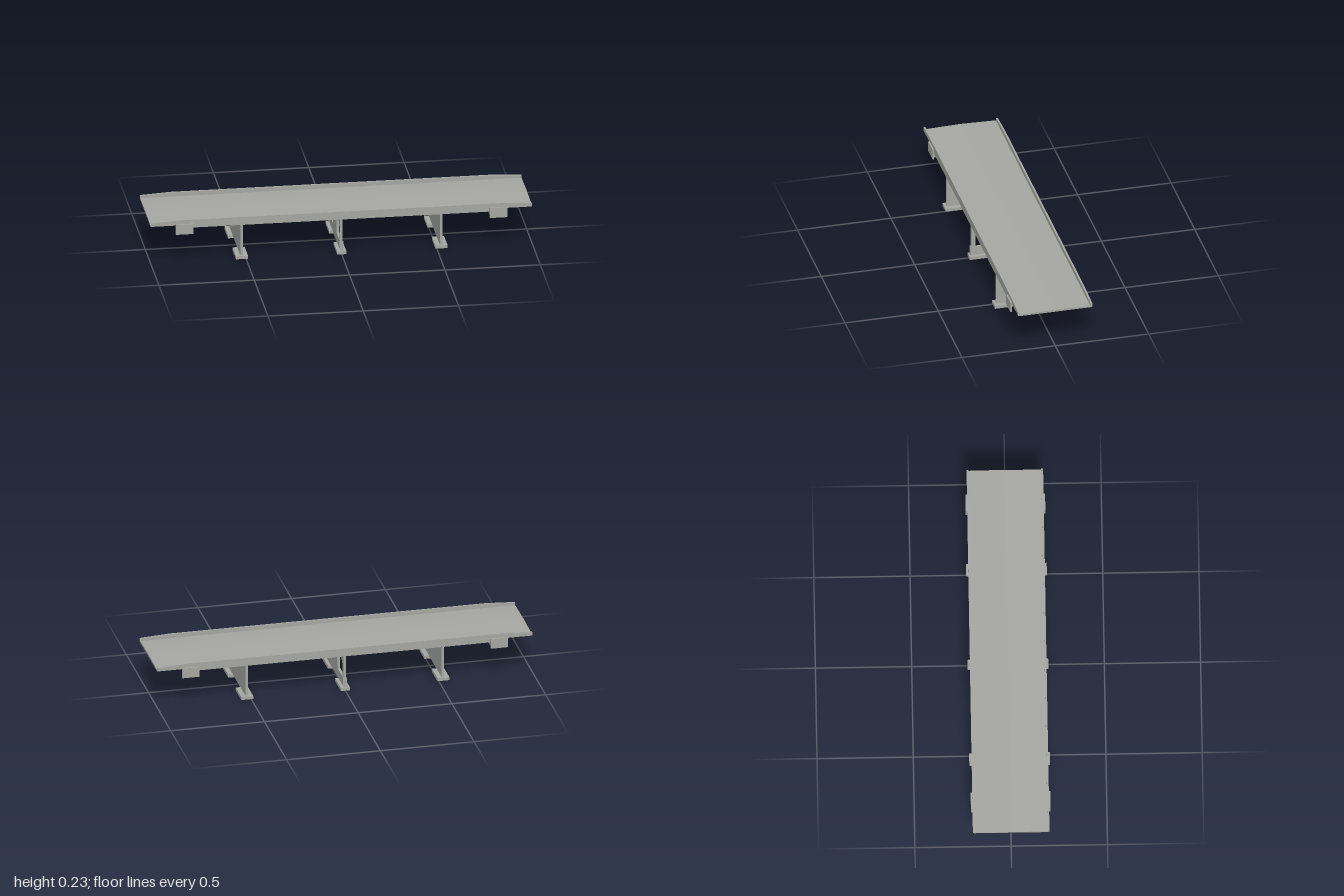
import * as THREE from 'three';

const concrete = new THREE.MeshStandardMaterial({ color: 0xa6a6a2 });
concrete.name = 'concrete grey';

export function createModel() {
  const model = new THREE.Group();
  model.name = 'roadBridge';

  const add = (name, geometry) => {
    const mesh = new THREE.Mesh(geometry, concrete);
    mesh.name = name;
    model.add(mesh);
    return mesh;
  };
  // Box given by its limits on each axis
  const box = (name, x0, x1, y0, y1, z0, z1) =>
    add(name, new THREE.BoxGeometry(x1 - x0, y1 - y0, z1 - z0)
      .translate((x0 + x1) / 2, (y0 + y1) / 2, (z0 + z1) / 2));
  const shapeOf = (pts) => new THREE.Shape(pts.map(([x, y]) => new THREE.Vector2(x, y)));
  const extrude = (shape, depth) =>
    new THREE.ExtrudeGeometry(shape, { depth, bevelEnabled: false }).translate(0, 0, -depth / 2);

  // Cambered deck slab, cross-section swept along x
  const section = shapeOf([
    [-0.193, 0.204], [0.193, 0.204], [0.193, 0.211], [0.1, 0.214],
    [0, 0.2165], [-0.1, 0.214], [-0.193, 0.211],
  ]);
  add('deck', extrude(section, 2).rotateY(Math.PI / 2));

  // Edge beams with kerbs that drop towards both ends
  const kerb = shapeOf([
    [-1, 0.206], [-0.79, 0.206], [-0.79, 0.19], [0.79, 0.19], [0.79, 0.206], [1, 0.206],
    [1, 0.225], [0.84, 0.234], [-0.84, 0.234], [-1, 0.225],
  ]);
  for (const s of [-1, 1]) add('edgeBeam', extrude(kerb, 0.01)).position.z = s * 0.194;

  // Longitudinal girders with a web and a bottom flange
  for (let i = 0; i < 8; i++) {
    const z = -0.168 + i * 0.048;
    box('girderWeb', -0.79, 0.79, 0.191, 0.206, z - 0.005, z + 0.005);
    box('girderFlange', -0.79, 0.79, 0.188, 0.192, z - 0.011, z + 0.011);
  }

  // Cross diaphragms between the girders
  for (const x of [0.13, 0.26, 0.39, 0.62, 0.71])
    for (const s of [-1, 1]) box('diaphragm', s * x - 0.003, s * x + 0.003, 0.188, 0.206, -0.19, 0.19);

  for (const s of [-1, 1]) {
    // Abutment beam and its side plates
    const a = s * 0.79;
    box('abutmentBeam', a - 0.012, a + 0.012, 0.167, 0.206, -0.199, 0.199);
    const w = s * 0.823;
    for (const t of [-1, 1])
      box('wingPlate', w - 0.046, w + 0.046, 0.157, 0.212, t * 0.203 - 0.004, t * 0.203 + 0.004);

    // Solid outer piers
    const p = s * 0.523;
    box('outerPier', p - 0.007, p + 0.007, 0.018, 0.192, -0.198, 0.198);
    for (const t of [-1, 1])
      box('outerFooting', p - 0.032, p + 0.032, 0.003, 0.02, t * 0.147 - 0.063, t * 0.147 + 0.063);
  }

  // Middle pier pierced by two chamfered openings
  const wall = shapeOf([[-0.198, 0.018], [0.198, 0.018], [0.198, 0.192], [-0.198, 0.192]]);
  for (const s of [-1, 1]) {
    const hole = [[0.065, 0.065], [0.175, 0.065], [0.175, 0.135], [0.152, 0.16], [0.088, 0.16], [0.065, 0.135]];
    wall.holes.push(new THREE.Path(hole.map(([z, y]) => new THREE.Vector2(s * z, y))));
  }
  add('middlePier', extrude(wall, 0.014).rotateY(Math.PI / 2));
  for (const t of [-1, 1]) {
    box('middlePierFoot', -0.01, 0.01, 0.018, 0.068, t * 0.2 - 0.004, t * 0.2 + 0.004);
    box('middleFooting', -0.024, 0.024, 0, 0.018, t * 0.147 - 0.064, t * 0.147 + 0.064);
  }

  return model;
}
